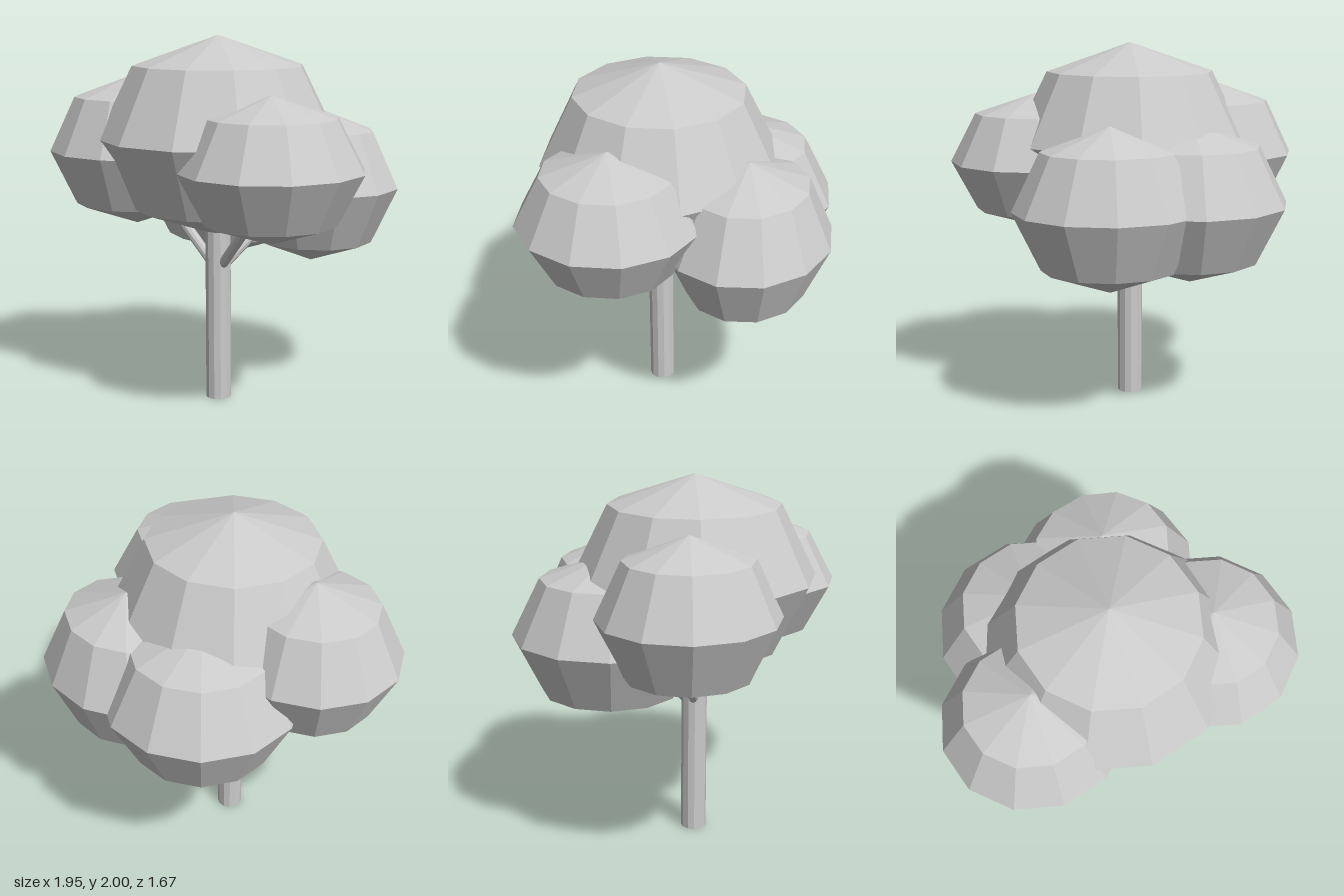
import * as THREE from 'three';

export function createModel() {
  const tree = new THREE.Group();
  tree.name = 'tree';
  const material = new THREE.MeshStandardMaterial({ color: 0xcccccc, flatShading: true });
  const add = (name, geometry) => {
    const mesh = new THREE.Mesh(geometry, material);
    mesh.name = name;
    tree.add(mesh);
    return mesh;
  };

  // Trunk, reaching up into the crown
  const base = new THREE.Vector3(-0.02, 0, 0.165);
  add('trunk', new THREE.CylinderGeometry(0.07, 0.07, 1.1, 12)).position.set(base.x, 0.55, base.z);

  // Branches fan out from one height on the trunk, one to each side clump
  const fork = base.clone().setY(0.72);
  const up = new THREE.Vector3(0, 1, 0);
  const branches = {
    leftBranch: [0.42, 1.16, 0.23],
    rightBranch: [-0.4, 1.2, 0.32],
    backLeftBranch: [0.1, 1.12, -0.28],
    backRightBranch: [-0.24, 1.08, -0.1],
  };
  for (const [name, tip] of Object.entries(branches)) {
    const end = new THREE.Vector3(...tip);
    const axis = end.clone().sub(fork);
    const branch = add(name, new THREE.CylinderGeometry(0.028, 0.028, axis.length(), 10));
    branch.position.copy(fork).add(end).multiplyScalar(0.5);
    branch.quaternion.setFromUnitVectors(up, axis.normalize());
  }

  // Leaf clumps: faceted ellipsoids given as centre and radii
  const clumps = {
    mainFoliage: [[-0.02, 1.46, 0.16], [0.65, 0.54, 0.65]],
    leftFoliage: [[0.498, 1.342, 0.245], [0.478, 0.378, 0.487]],
    rightFoliage: [[-0.49, 1.362, 0.365], [0.487, 0.417, 0.468]],
    backLeftFoliage: [[0.14, 1.163, -0.387], [0.51, 0.437, 0.45]],
    backRightFoliage: [[-0.31, 1.16, -0.19], [0.525, 0.435, 0.525]],
  };
  for (const [name, [centre, radii]] of Object.entries(clumps)) {
    const clump = add(name, new THREE.SphereGeometry(1, 12, 4).scale(...radii));
    clump.position.set(...centre);
  }
  return tree;
}
